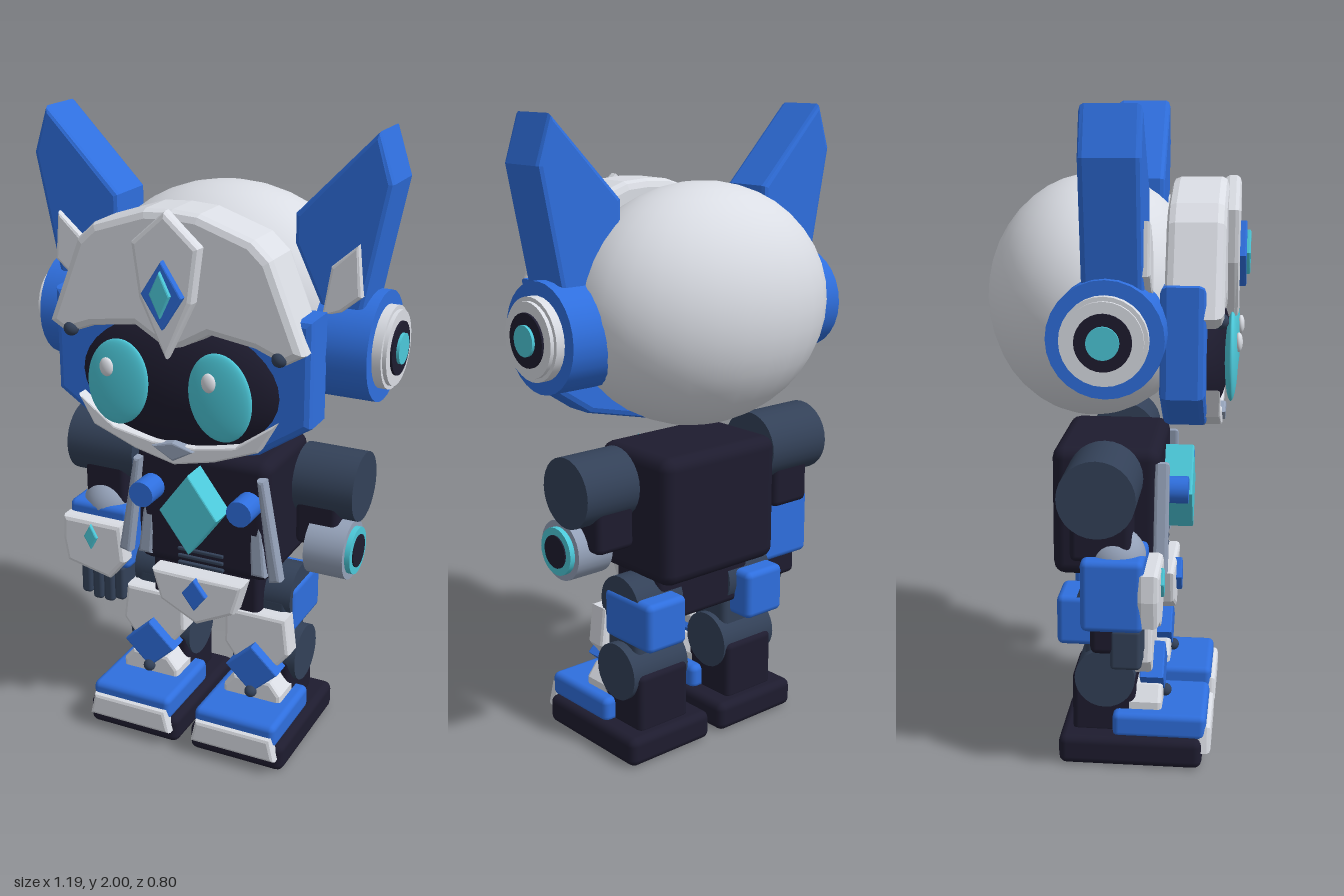
import * as THREE from 'three';
import { RoundedBoxGeometry } from 'three/addons/geometries/RoundedBoxGeometry.js';

const paint = (name, color) => {
  const m = new THREE.MeshStandardMaterial({ color });
  m.name = name;
  return m;
};

export function createModel() {
  const white = paint('shell white', 0xdadde4);
  const blue = paint('armour blue', 0x2f6fde);
  const navy = paint('body navy', 0x1e1c2f);
  const slate = paint('joint slate', 0x334158);
  const cyan = paint('glow cyan', 0x4cc9da);
  const silver = paint('trim silver', 0x94a1b8);

  const model = new THREE.Group();
  model.name = 'robot';
  let target = model;
  const section = (name) => {
    target = new THREE.Group();
    target.name = name;
    model.add(target);
  };
  const add = (name, geometry, material, x = 0, y = 0, z = 0) => {
    const mesh = new THREE.Mesh(geometry, material);
    mesh.name = name;
    mesh.position.set(x, y, z);
    target.add(mesh);
    return mesh;
  };

  // Rounded box given by its limits on each axis
  const box = (name, mat, [x0, x1], [y0, y1], [z0, z1], r = 0.02) =>
    add(name, new RoundedBoxGeometry(Math.abs(x1 - x0), y1 - y0, z1 - z0, 2, r), mat,
      (x0 + x1) / 2, (y0 + y1) / 2, (z0 + z1) / 2);

  // Cylinder lying along x between two limits
  const rod = (name, mat, xa, xb, y, z, r) => {
    const g = new THREE.CylinderGeometry(r, r, Math.abs(xb - xa), 28).rotateZ(Math.PI / 2);
    return add(name, g, mat, (xa + xb) / 2, y, z);
  };

  const ball = (name, mat, x, y, z, rx, ry = rx, rz = rx) =>
    add(name, new THREE.SphereGeometry(1, 28, 20).scale(rx, ry, rz), mat, x, y, z);

  // Bevelled plate from an xy outline, between two depths
  const plate = (name, mat, pts, z0, z1, bevel = 0.01) => {
    const b = Math.min(bevel, (z1 - z0) * 0.45);
    const g = new THREE.ExtrudeGeometry(new THREE.Shape(pts.map(([x, y]) => new THREE.Vector2(x, y))), {
      depth: z1 - z0 - 2 * b, bevelThickness: b, bevelSize: b, bevelOffset: -b, bevelSegments: 2,
    });
    return add(name, g, mat, 0, 0, z0 + b);
  };
  // Full outline from the right half, listed from the top centre to the bottom centre
  const mirrored = (pts) => [...pts, ...pts.filter(([x]) => x > 0).reverse().map(([x, y]) => [-x, y])];
  const flip = (pts, s) => pts.map(([x, y]) => [x * s, y]);
  const diamond = (name, mat, x, y, w, h, z0, z1) =>
    plate(name, mat, [[x, y + h], [x + w, y], [x, y - h], [x - w, y]], z0, z1, 0.005);

  // Head: skull, face and helmet
  section('head');
  ball('skull', white, 0, 1.42, -0.07, 0.44, 0.37, 0.33);
  plate('cheekGuard', blue, mirrored([[0, 1.5], [0.415, 1.5], [0.415, 1.18], [0.25, 1.07], [0, 1.01]]), 0.155, 0.285, 0.02);
  ball('faceMask', navy, 0, 1.26, 0.235, 0.355, 0.225, 0.115);
  plate('helmetVisor', white, mirrored([[0, 1.78], [0.085, 1.775], [0.25, 1.72], [0.305, 1.67], [0.41, 1.41],
    [0.35, 1.375], [0.26, 1.41], [0.12, 1.43], [0, 1.36]]), 0.165, 0.335, 0.025);
  plate('crest', white, mirrored([[0, 1.785], [0.107, 1.69], [0.085, 1.53], [0, 1.355]]), 0.32, 0.37, 0.015);
  diamond('crestGem', blue, 0, 1.55, 0.065, 0.1, 0.365, 0.39);
  diamond('crestGemCore', cyan, 0, 1.555, 0.033, 0.068, 0.385, 0.402);
  plate('jaw', white, mirrored([[0, 1.08], [0.07, 1.08], [0.2, 1.105], [0.32, 1.19], [0.27, 1.1], [0.13, 1.045],
    [0, 1.015]]), 0.26, 0.325, 0.006);
  plate('chin', silver, mirrored([[0, 1.09], [0.07, 1.07], [0, 1.03]]), 0.27, 0.335, 0.006);

  for (const s of [1, -1]) {
    const eye = ball('eye', cyan, s * 0.165, 1.262, 0.353, 0.1, 0.133, 0.02);
    eye.rotation.z = s * 0.12;
    ball('eyeHighlight', white, s * 0.165 - 0.026, 1.31, 0.374, 0.022, 0.029, 0.012);
    ball('visorBolt', slate, s * 0.335, 1.395, 0.325, 0.023);

    // Ear cups
    rod('earCup', blue, s * 0.365, s * 0.537, 1.37, 0.015, 0.165);
    rod('earRing', white, s * 0.53, s * 0.565, 1.37, 0.015, 0.124);
    rod('earRingLip', white, s * 0.56, s * 0.577, 1.37, 0.015, 0.112);
    rod('earSpeaker', navy, s * 0.57, s * 0.584, 1.37, 0.015, 0.08);
    rod('earLight', cyan, s * 0.575, s * 0.593, 1.37, 0.015, 0.046);

    // Pointed ears with a small fin in front
    plate('ear', blue, flip([[0.525, 2.0], [0.572, 1.86], [0.49, 1.45], [0.39, 1.45], [0.285, 1.67], [0.285, 1.755]], s),
      -0.055, 0.117, 0.015);
    plate('earFin', white, flip([[0.485, 1.69], [0.405, 1.62], [0.38, 1.47], [0.44, 1.49], [0.5, 1.54]], s), 0.1, 0.137);
  }

  // Torso with chest details
  section('torso');
  box('torsoShell', navy, [-0.232, 0.232], [0.575, 0.985], [-0.185, 0.148], 0.04);
  diamond('chestGem', cyan, 0, 0.81, 0.1, 0.135, 0.13, 0.238);
  for (const y of [0.595, 0.62, 0.645]) box('chestVent', slate, [-0.08, 0.08], [y - 0.006, y + 0.006], [0.13, 0.156], 0.004);
  for (const s of [1, -1]) {
    plate('chestStrut', silver, flip([[0.15, 0.93], [0.19, 0.93], [0.225, 0.6], [0.175, 0.6]], s), 0.13, 0.185)
      .rotation.x = -0.05;
    plate('outerStrut', silver, flip([[0.2, 0.94], [0.225, 0.94], [0.285, 0.61], [0.245, 0.6]], s), 0.13, 0.175);
    add('chestBolt', new THREE.CylinderGeometry(0.042, 0.042, 0.1, 16).rotateX(Math.PI / 2), blue, s * 0.168, 0.845, 0.18);
  }

  // Pelvis
  box('pelvis', navy, [-0.19, 0.19], [0.42, 0.6], [-0.1, 0.12]);
  plate('pelvisPlate', white, mirrored([[0, 0.57], [0.16, 0.57], [0.13, 0.465], [0, 0.4]]), 0.11, 0.187, 0.012);
  diamond('pelvisGem', blue, 0, 0.515, 0.043, 0.055, 0.18, 0.205);

  // Left arm ends in an exposed elbow joint
  section('leftArm');
  rod('shoulder', slate, 0.285, 0.48, 0.9, -0.015, 0.11);
  box('upperArm', navy, [0.29, 0.43], [0.71, 0.9], [-0.105, 0.08]);
  rod('elbow', silver, 0.34, 0.468, 0.705, 0.035, 0.095);
  rod('elbowLight', cyan, 0.46, 0.485, 0.705, 0.035, 0.075);
  rod('elbowCap', navy, 0.46, 0.489, 0.705, 0.035, 0.052);

  // Right arm with forearm and hand
  section('rightArm');
  rod('shoulder', slate, -0.51, -0.27, 0.905, -0.015, 0.115);
  box('upperArm', navy, [-0.46, -0.31], [0.7, 0.9], [-0.1, 0.08]);
  ball('elbow', silver, -0.39, 0.7, 0.03, 0.09);
  box('forearm', blue, [-0.5, -0.28], [0.5, 0.72], [-0.065, 0.12]);
  plate('forearmPlate', white, [[-0.5, 0.68], [-0.285, 0.68], [-0.272, 0.55], [-0.33, 0.48], [-0.49, 0.515], [-0.505, 0.6]],
    0.1, 0.165, 0.015);
  diamond('forearmGem', cyan, -0.392, 0.625, 0.025, 0.045, 0.16, 0.175);
  box('palm', navy, [-0.47, -0.31], [0.42, 0.54], [-0.04, 0.09]);
  for (let i = 0; i < 4; i++) {
    const x = -0.453 + i * 0.042;
    box('finger', slate, [x - 0.019, x + 0.019], [i % 3 ? 0.36 : 0.375, 0.5], [0.02, 0.11], 0.012);
  }

  // Legs and feet
  for (const s of [1, -1]) {
    section(s > 0 ? 'leftLeg' : 'rightLeg');
    const c = s * 0.185;
    rod('hipJoint', slate, s * 0.1, s * 0.28, 0.49, -0.015, 0.095);
    box('thigh', slate, [s * 0.1, s * 0.27], [0.27, 0.5], [-0.08, 0.08]);
    box('thighArmour', blue, [s * 0.13, s * 0.287], [0.37, 0.53], [-0.165, 0.06]);
    plate('thighPlate', white, flip([[0.075, 0.455], [0.285, 0.455], [0.3, 0.33], [0.26, 0.28], [0.11, 0.28], [0.072, 0.33]], s),
      0.055, 0.13, 0.012);
    rod('kneeJoint', slate, s * 0.08, s * 0.3, 0.27, -0.015, 0.093);
    box('shin', navy, [s * 0.085, s * 0.285], [0.08, 0.28], [-0.118, 0.08]);
    diamond('kneeGem', blue, c, 0.27, 0.09, 0.085, 0.09, 0.165);
    plate('anklePlate', white, flip([[0.12, 0.235], [0.25, 0.235], [0.285, 0.19], [0.285, 0.14], [0.085, 0.14], [0.085, 0.19]], s),
      0.0, 0.16, 0.012);
    ball('ankleBolt', slate, c, 0.192, 0.165, 0.02);
    box('sole', navy, [s * 0.022, s * 0.348], [0, 0.095], [-0.155, 0.288], 0.025);
    box('footShell', blue, [s * 0.045, s * 0.325], [0.085, 0.167], [0.01, 0.3]);
    plate('toePlate', white, [[c - 0.13, 0.13], [c + 0.13, 0.13], [c + 0.148, 0.05], [c - 0.148, 0.05]], 0.27, 0.315, 0.012);
  }

  return model;
}
